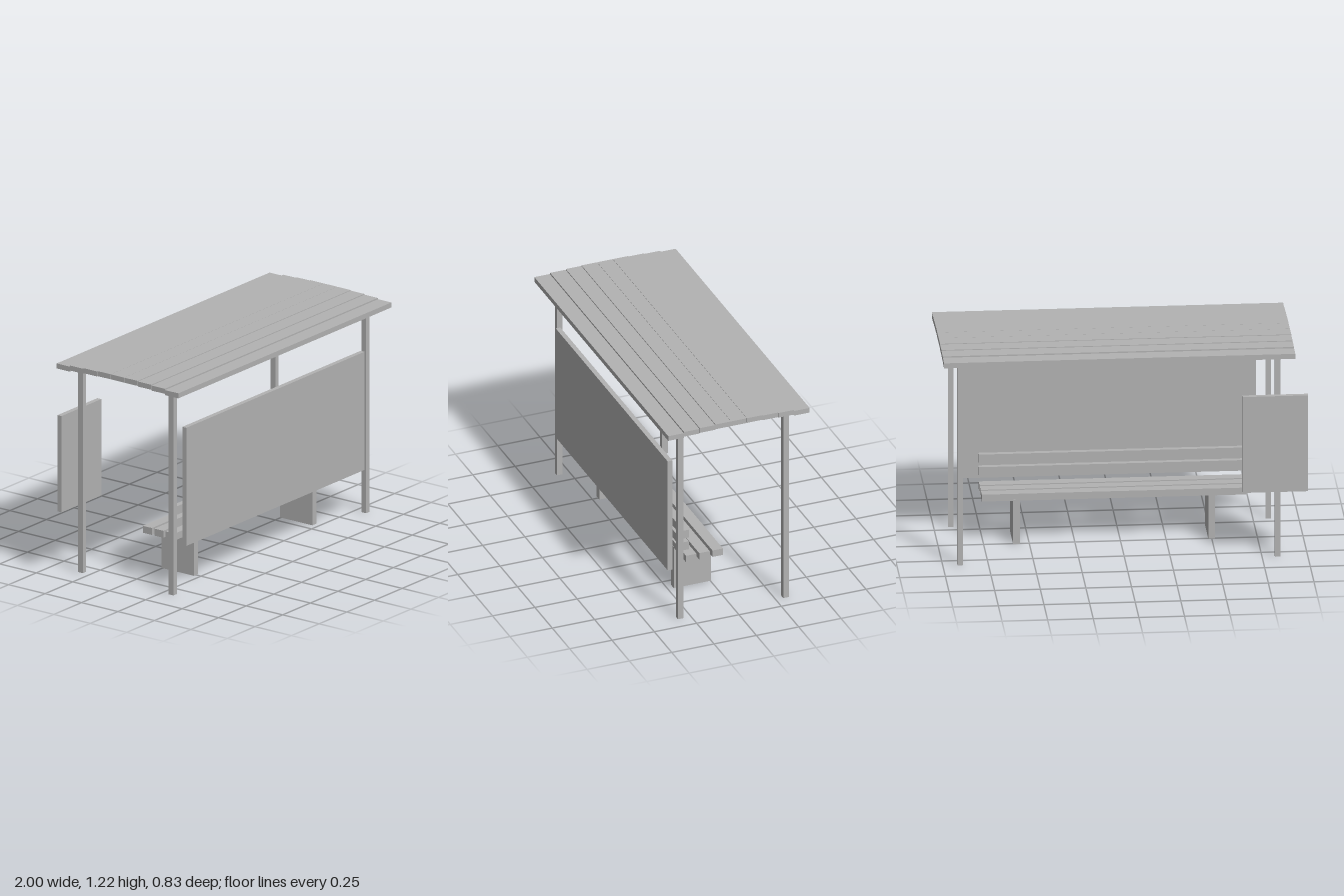
import * as THREE from 'three';

export function createModel() {
  const model = new THREE.Group();
  model.name = 'busShelter';
  const grey = new THREE.MeshStandardMaterial({ color: 0xb2b2b2 });
  grey.name = 'plain grey';

  // Box given by its low and high limits on each axis
  function box(parent, name, [x0, x1], [y0, y1], [z0, z1]) {
    const mesh = new THREE.Mesh(new THREE.BoxGeometry(x1 - x0, y1 - y0, z1 - z0), grey);
    mesh.position.set((x0 + x1) / 2, (y0 + y1) / 2, (z0 + z1) / 2);
    mesh.name = name;
    parent.add(mesh);
  }
  function group(name) {
    const g = new THREE.Group();
    g.name = name;
    model.add(g);
    return g;
  }

  // Four corner posts
  const posts = group('posts');
  for (const x of [-0.835, 0.905]) {
    for (const z of [-0.311, 0.311]) {
      box(posts, 'post', [x - 0.015, x + 0.015], [0, 1.16], [z - 0.0165, z + 0.0165]);
    }
  }

  // Roof planks, stepping down in a shallow arch from the middle
  const roof = group('roof');
  const plankTops = [1.22, 1.22, 1.217, 1.213, 1.206];
  for (let i = -4; i <= 4; i++) {
    const top = plankTops[Math.abs(i)];
    const z = i * 0.0929;
    box(roof, 'roofPlank', [-0.925, 1], [top - 0.029, top], [z - 0.0458, z + 0.0458]);
  }

  // Wall panels fixed to the outside of the posts
  box(model, 'largePanel', [-0.77, 0.84], [0.27, 0.952], [0.3275, 0.355]);
  box(model, 'smallPanel', [-1, -0.64], [0.385, 0.941], [-0.355, -0.3275]);

  // Bench with slab legs, three seat slats and two back slats
  const bench = group('bench');
  for (const x of [-0.5, 0.57]) {
    box(bench, 'benchLeg', [x - 0.019, x + 0.019], [0, 0.256], [-0.005, 0.216]);
  }
  for (const z of [0.027, 0.105, 0.183]) {
    box(bench, 'seatSlat', [-0.69, 0.76], [0.25, 0.29], [z - 0.031, z + 0.031]);
  }
  for (const y of [0.353, 0.426]) {
    box(bench, 'backSlat', [-0.69, 0.76], [y - 0.0245, y + 0.0245], [0.198, 0.229]);
  }

  return model;
}
